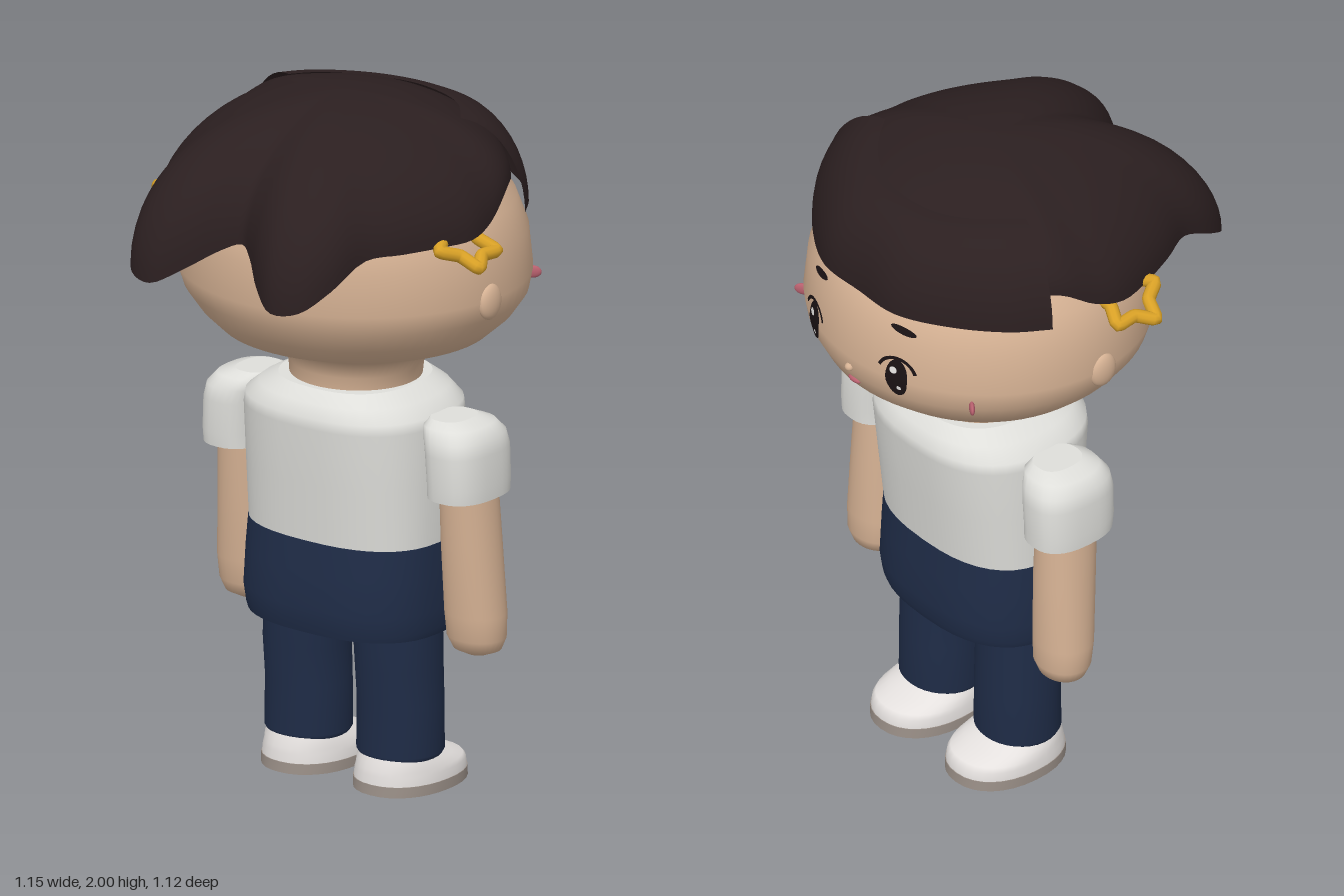
import * as THREE from 'three';

const mat = (name, color, side = THREE.FrontSide) => {
  const m = new THREE.MeshStandardMaterial({ color, side });
  m.name = name;
  return m;
};

// rings: [y, centre x, half width, back z, front z]
const HEAD = [
  [1.15, 0, 0.185, 0.09, -0.265], [1.2, 0, 0.19, 0.092, -0.27], [1.25, 0, 0.22, 0.112, -0.29],
  [1.31, 0, 0.385, 0.28, -0.455], [1.36, 0, 0.44, 0.33, -0.515], [1.42, 0, 0.485, 0.368, -0.545],
  [1.48, 0, 0.5, 0.39, -0.555], [1.6, 0, 0.49, 0.39, -0.543], [1.69, 0, 0.462, 0.375, -0.508],
  [1.78, 0, 0.4, 0.31, -0.43], [1.85, 0, 0.3, 0.2, -0.32], [1.89, 0, 0.12, 0.05, -0.16],
];

// closed tube through elliptical rings; n > 2 makes the section squarer
function loft(rings, n = 2, seg = 40) {
  const pos = [], idx = [];
  const ring = ([y, cx, rx, zb, zf]) => {
    for (let i = 0; i < seg; i++) {
      const a = (i / seg) * Math.PI * 2, c = Math.cos(a), s = Math.sin(a);
      pos.push(cx + rx * Math.sign(c) * Math.abs(c) ** (2 / n), y,
        (zb + zf) / 2 + ((zb - zf) / 2) * Math.sign(s) * Math.abs(s) ** (2 / n));
    }
  };
  rings.forEach(ring);
  for (let j = 0; j < rings.length - 1; j++) for (let i = 0; i < seg; i++) {
    const a = j * seg + i, b = j * seg + ((i + 1) % seg);
    idx.push(a, a + seg, b, b, a + seg, b + seg);
  }
  // end caps with their own vertices keep a crisp rim
  [[rings[0], false], [rings[rings.length - 1], true]].forEach(([r, top]) => {
    const s = pos.length / 3;
    ring(r);
    pos.push(r[1], r[0], (r[3] + r[4]) / 2);
    for (let i = 0; i < seg; i++) {
      const a = s + i, b = s + ((i + 1) % seg);
      idx.push(s + seg, top ? b : a, top ? a : b);
    }
  });
  return build(pos, idx);
}

function build(pos, idx) {
  const g = new THREE.BufferGeometry();
  g.setAttribute('position', new THREE.Float32BufferAttribute(pos, 3));
  g.setIndex(idx);
  g.computeVertexNormals();
  return g;
}

// open sheet from f(u, v) -> Vector3
function sheet(nu, nv, f) {
  const pos = [], idx = [];
  for (let j = 0; j <= nv; j++) for (let i = 0; i <= nu; i++) pos.push(...f(i / nu, j / nv).toArray());
  for (let j = 0; j < nv; j++) for (let i = 0; i < nu; i++) {
    const a = j * (nu + 1) + i, b = a + nu + 1;
    idx.push(a, a + 1, b, a + 1, b + 1, b);
  }
  return build(pos, idx);
}

const V = (p) => new THREE.Vector3(...p);
// curve mirrored in x, from a half list that starts on the centre line
const mirrored = (half, closed) => {
  const other = half.slice(1, closed ? -1 : undefined).map(([x, y, z]) => [-x, y, z]);
  const pts = closed ? [...half, ...other.reverse()] : [...other.reverse(), ...half];
  return new THREE.CatmullRomCurve3(pts.map(V), closed, 'centripetal');
};

// z of the face surface at x, y
function faceZ(x, y) {
  const j = Math.max(1, HEAD.findIndex((r) => r[0] >= y));
  const a = HEAD[j - 1], b = HEAD[j], t = (y - a[0]) / (b[0] - a[0]);
  const [, , rx, zb, zf] = a.map((v, k) => v + (b[k] - v) * t);
  return (zb + zf) / 2 - ((zb - zf) / 2) * Math.sqrt(1 - (x / rx) ** 2);
}

// lay a flat geometry on the face
function onFace(g, x, y, off) {
  const p = g.attributes.position;
  for (let i = 0; i < p.count; i++) {
    const px = x - p.getX(i), py = y + p.getY(i);
    p.setXYZ(i, px, py, faceZ(px, py) - off);
  }
  g.computeVertexNormals();
  return g;
}

export function createModel() {
  const skin = mat('skin', 0xd6b294), white = mat('shirt white', 0xdededa, THREE.DoubleSide);
  const navy = mat('navy cloth', 0x1f2c47), hair = mat('dark hair', 0x2b1f20, THREE.DoubleSide);
  const gold = mat('gold', 0xd9a126), pink = mat('pink', 0xb8606e);
  const sole = mat('sole', 0x9c9189), shoeWhite = mat('shoe white', 0xe4e0de);
  const black = mat('eye black', 0x1a1214), glint = mat('eye glint', 0xf4f2f0);

  const model = new THREE.Group();
  const add = (name, geo, m, parent = model) => {
    const o = new THREE.Mesh(geo, m);
    o.name = name;
    parent.add(o);
    return o;
  };
  const blob = (name, m, p, s) => {
    const o = add(name, new THREE.SphereGeometry(1, 20, 14), m);
    o.position.set(...p);
    o.scale.set(...s);
    return o;
  };

  // head and torso
  add('head', loft(HEAD, 2, 64), skin);
  add('shirt', loft([[0.73, 0, 0.3, 0.14, -0.288], [0.9, 0, 0.302, 0.157, -0.312], [1.07, 0, 0.303, 0.174, -0.336],
    [1.1, 0, 0.298, 0.172, -0.335], [1.135, 0, 0.255, 0.15, -0.315], [1.165, 0, 0.2, 0.11, -0.28]], 2.5), white);
  add('hips', loft([[0.465, 0, 0.298, 0.145, -0.285], [0.485, 0, 0.304, 0.15, -0.292], [0.54, 0, 0.309, 0.16, -0.301],
    [0.64, 0, 0.306, 0.152, -0.295], [0.73, 0, 0.301, 0.142, -0.289]], 2.5), navy);

  // hair: meridians run from the crown to a wavy hem with two tails
  const crown = V([0, 1.995, -0.03]);
  const hem = mirrored([[0, 1.75, -0.47], [0.2, 1.75, -0.43], [0.38, 1.76, -0.29], [0.455, 1.765, -0.18],
    [0.485, 1.7, -0.07], [0.493, 1.675, 0.02], [0.465, 1.675, 0.13], [0.42, 1.675, 0.24], [0.368, 1.672, 0.34],
    [0.342, 1.61, 0.46], [0.29, 1.557, 0.54], [0.21, 1.547, 0.562], [0.13, 1.59, 0.52], [0.05, 1.645, 0.45],
    [0, 1.665, 0.42]], true);
  const dome = (a, b, t) => {
    const s = Math.sin(t * Math.PI / 2), c = Math.cos(t * Math.PI / 2);
    return V([a.x + (b.x - a.x) * s, b.y + (a.y - b.y) * c, a.z + (b.z - a.z) * s]);
  };
  add('backHair', sheet(112, 18, (u, v) => dome(crown, hem.getPoint(u % 1), v)), hair);

  // fringe: a curved panel lapping over the front of the hair
  const inner = mirrored([[0, 1.925, -0.35], [0.11, 1.925, -0.33], [0.2, 1.93, -0.28], [0.26, 1.935, -0.22],
    [0.3, 1.935, -0.17]]);
  const outer = mirrored([[0, 1.685, -0.517], [0.15, 1.685, -0.512], [0.3, 1.685, -0.43], [0.42, 1.685, -0.32],
    [0.482, 1.685, -0.225]]);
  add('fringe', sheet(48, 12, (u, v) => dome(inner.getPoint(u), outer.getPoint(u), v)), hair);

  // nose and mouth
  blob('nose', skin, [0, 1.44, -0.55], [0.013, 0.012, 0.012]);
  blob('mouth', pink, [0, 1.39, -0.53], [0.024, 0.009, 0.01]);

  for (const s of [1, -1]) {
    // eye, lashes, brow, cheek, ear
    const ex = 0.175 * s;
    add('eye', onFace(new THREE.CircleGeometry(1, 24).scale(0.033, 0.06, 1), ex, 1.49, 0.006), black);
    add('eyeGlint', onFace(new THREE.CircleGeometry(0.011, 14), ex + 0.008, 1.515, 0.009), glint);
    add('eyeGlintLow', onFace(new THREE.CircleGeometry(0.007, 12), ex - 0.009, 1.46, 0.009), glint);
    add('eyelash', onFace(new THREE.RingGeometry(0.052, 0.062, 20, 1, 0.35, Math.PI - 0.7), ex, 1.497, 0.007), black);
    add('eyebrow', onFace(new THREE.CircleGeometry(1, 18).scale(0.04, 0.01, 1).rotateZ(s * 0.15), ex, 1.638, 0.006), black);
    const cheek = blob('cheek', pink, [0.36 * s, 1.437, -0.412], [0.026, 0.018, 0.008]);
    cheek.rotation.y = s * 0.6;
    blob('ear', skin, [0.492 * s, 1.475, -0.055], [0.022, 0.052, 0.044]);

    // star-shaped hair tie, half sunk into the hair
    const star = [];
    for (let i = 0; i < 10; i++) {
      const a = 0.35 + (i * Math.PI) / 5, r = i % 2 ? 0.062 : 0.1, d = r * Math.cos(a);
      star.push(V([s * (0.478 + d * 0.87), 1.668 - d * 0.48, 0.045 + r * Math.sin(a)]));
    }
    add('hairTie', new THREE.TubeGeometry(new THREE.CatmullRomCurve3(star, true, 'catmullrom', 0.25), 80, 0.019, 10, true), gold);

    // arm and sleeve
    add('arm', loft([[0.418, 0.397 * s, 0.03, -0.095, -0.15], [0.435, 0.397 * s, 0.07, -0.062, -0.18],
      [0.47, 0.396 * s, 0.086, -0.046, -0.193], [0.54, 0.396 * s, 0.089, -0.036, -0.195],
      [0.75, 0.389 * s, 0.081, -0.018, -0.193], [0.95, 0.385 * s, 0.073, -0.005, -0.185]], 2.1, 28), skin);
    add('sleeve', loft([[0.89, 0.39 * s, 0.091, 0.036, -0.22], [0.93, 0.391 * s, 0.091, 0.04, -0.222],
      [1.02, 0.386 * s, 0.092, 0.042, -0.224], [1.06, 0.378 * s, 0.092, 0.036, -0.216],
      [1.09, 0.36 * s, 0.085, 0.015, -0.195], [1.105, 0.34 * s, 0.055, -0.02, -0.16]], 2.5, 32), white);

    // leg and shoe
    add('trouserLeg', loft([[0.095, 0.16 * s, 0.115, 0.028, -0.19], [0.108, 0.16 * s, 0.122, 0.035, -0.198],
      [0.25, 0.16 * s, 0.121, 0.033, -0.197], [0.36, 0.16 * s, 0.121, 0.045, -0.195],
      [0.5, 0.155 * s, 0.125, 0.047, -0.195]], 2.1, 32), navy);
    add('sole', loft([[0, 0.16 * s, 0.135, 0.053, -0.303], [0.03, 0.16 * s, 0.135, 0.052, -0.302]], 2.2, 32), sole);
    add('shoe', loft([[0.03, 0.16 * s, 0.133, 0.05, -0.3], [0.055, 0.16 * s, 0.131, 0.047, -0.297],
      [0.068, 0.16 * s, 0.127, 0.043, -0.285], [0.085, 0.16 * s, 0.121, 0.038, -0.235],
      [0.103, 0.16 * s, 0.11, 0.03, -0.195]], 2.2, 32), shoeWhite);
  }
  return model;
}
